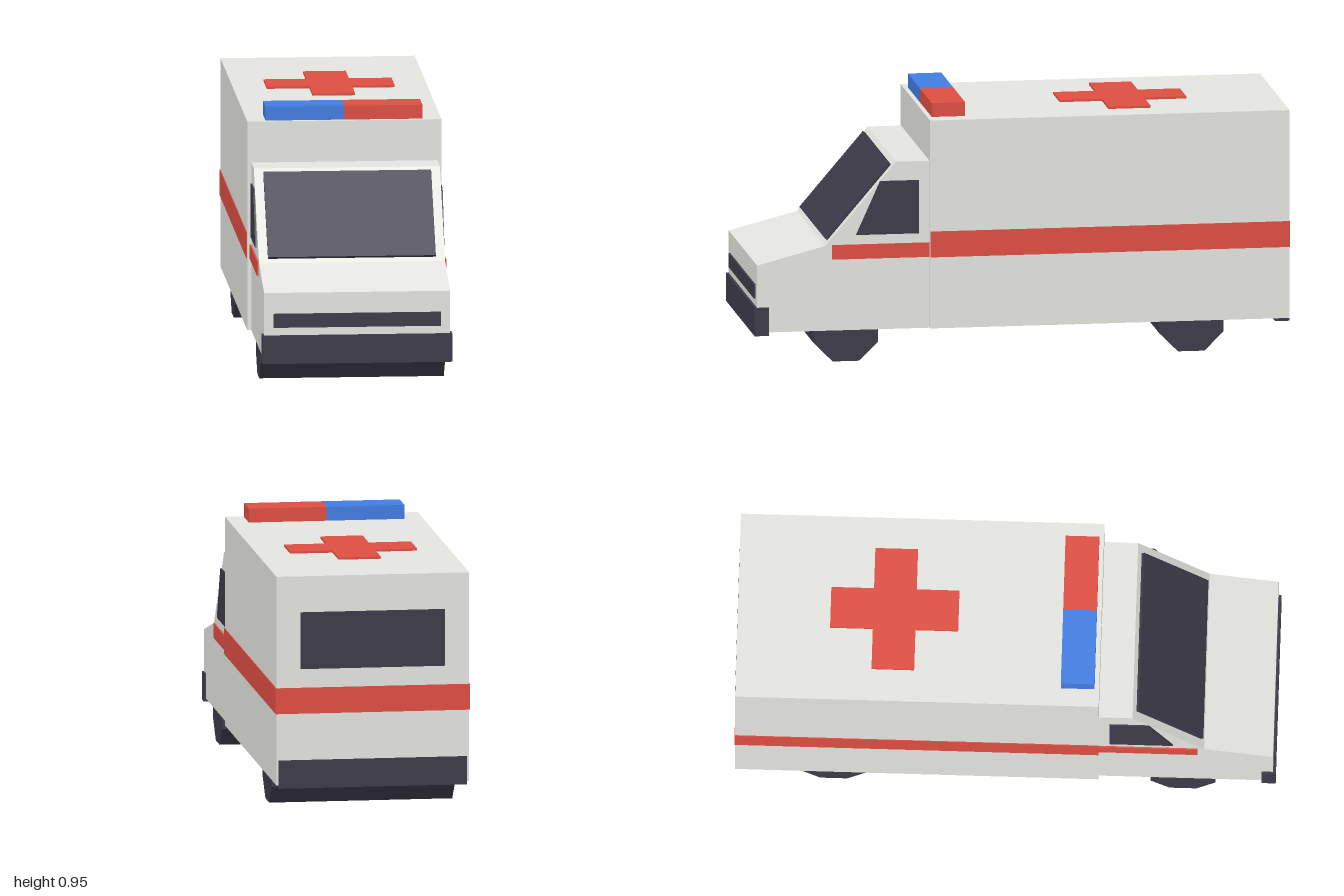
import * as THREE from 'three';

const flat = (name, color) => {
  const m = new THREE.MeshStandardMaterial({ color });
  m.name = name;
  return m;
};

export function createModel() {
  const van = new THREE.Group();
  van.name = 'ambulance';
  const white = flat('white paint', 0xe4e4e0);
  const red = flat('red paint', 0xde4e42);
  const blue = flat('blue light', 0x427de2);
  const dark = flat('dark glass and rubber', 0x3d3b48);

  const add = (name, geometry, material) => {
    const mesh = new THREE.Mesh(geometry, material);
    mesh.name = name;
    van.add(mesh);
    return mesh;
  };
  // box given by its limits on each axis
  const box = (name, material, [x0, x1], [y0, y1], [z0, z1]) => {
    const mesh = add(name, new THREE.BoxGeometry(x1 - x0, y1 - y0, z1 - z0), material);
    mesh.position.set((x0 + x1) / 2, (y0 + y1) / 2, (z0 + z1) / 2);
    return mesh;
  };
  // side outline of [z, y] points, extruded across x
  const slab = (name, material, points, x0, x1) => {
    const shape = new THREE.Shape(points.map(([z, y]) => new THREE.Vector2(-z, y)));
    const geometry = new THREE.ExtrudeGeometry(shape, { depth: x1 - x0, bevelEnabled: false });
    geometry.rotateY(Math.PI / 2).translate(x0, 0, 0);
    return add(name, geometry, material);
  };

  // body
  box('rearBody', white, [-0.36, 0.36], [0.117, 0.9], [-1, 0.345]);
  slab('cab', white, [[0.34, 0.117], [0.99, 0.117], [0.99, 0.37], [0.735, 0.436],
    [0.47, 0.746], [0.34, 0.746]], -0.345, 0.345);

  // stripes
  box('bodyStripe', red, [-0.363, 0.363], [0.385, 0.482], [-1.002, 0.344]);
  box('cabStripe', red, [-0.351, 0.351], [0.385, 0.439], [0.34, 0.71]);

  // windows
  const windscreen = add('windscreen', new THREE.BoxGeometry(0.622, 0.367, 0.012), dark);
  windscreen.position.set(0, 0.594, 0.6075);
  windscreen.rotation.x = -Math.atan2(0.265, 0.31);
  for (const [name, x] of [['leftWindow', 0.344], ['rightWindow', -0.351]]) {
    slab(name, dark, [[0.385, 0.475], [0.62, 0.475], [0.53, 0.675], [0.385, 0.675]], x, x + 0.007);
  }
  box('rearWindow', dark, [-0.27, 0.27], [0.552, 0.765], [-1.002, -0.996]);

  // grille and bumpers
  box('grille', dark, [-0.31, 0.31], [0.24, 0.292], [0.985, 0.997]);
  box('frontBumper', dark, [-0.352, 0.352], [0.105, 0.211], [0.947, 1]);
  box('rearBumper', dark, [-0.352, 0.352], [0.105, 0.211], [-1.0005, -0.947]);

  // eight-sided wheel rollers spanning the width
  for (const [name, z] of [['frontWheels', 0.657], ['rearWheels', -0.635]]) {
    const geometry = new THREE.CylinderGeometry(0.13, 0.13, 0.684, 8).toNonIndexed();
    geometry.rotateY(Math.PI / 8).rotateZ(Math.PI / 2).translate(0, 0.12, z);
    geometry.computeVertexNormals();
    add(name, geometry, dark);
  }

  // roof lights and cross
  box('rightRoofLight', blue, [-0.291, 0], [0.9, 0.952], [0.203, 0.328]);
  box('leftRoofLight', red, [0, 0.291], [0.9, 0.952], [0.203, 0.328]);
  const a = 0.079, b = 0.237;
  const cross = new THREE.Shape([[a, b], [-a, b], [-a, a], [-b, a], [-b, -a], [-a, -a],
    [-a, -b], [a, -b], [a, -a], [b, -a], [b, a], [a, a]].map(([x, y]) => new THREE.Vector2(x, y)));
  const crossGeometry = new THREE.ExtrudeGeometry(cross, { depth: 0.008, bevelEnabled: false });
  crossGeometry.rotateX(-Math.PI / 2).translate(0, 0.9, -0.42);
  add('roofCross', crossGeometry, red);

  return van;
}
